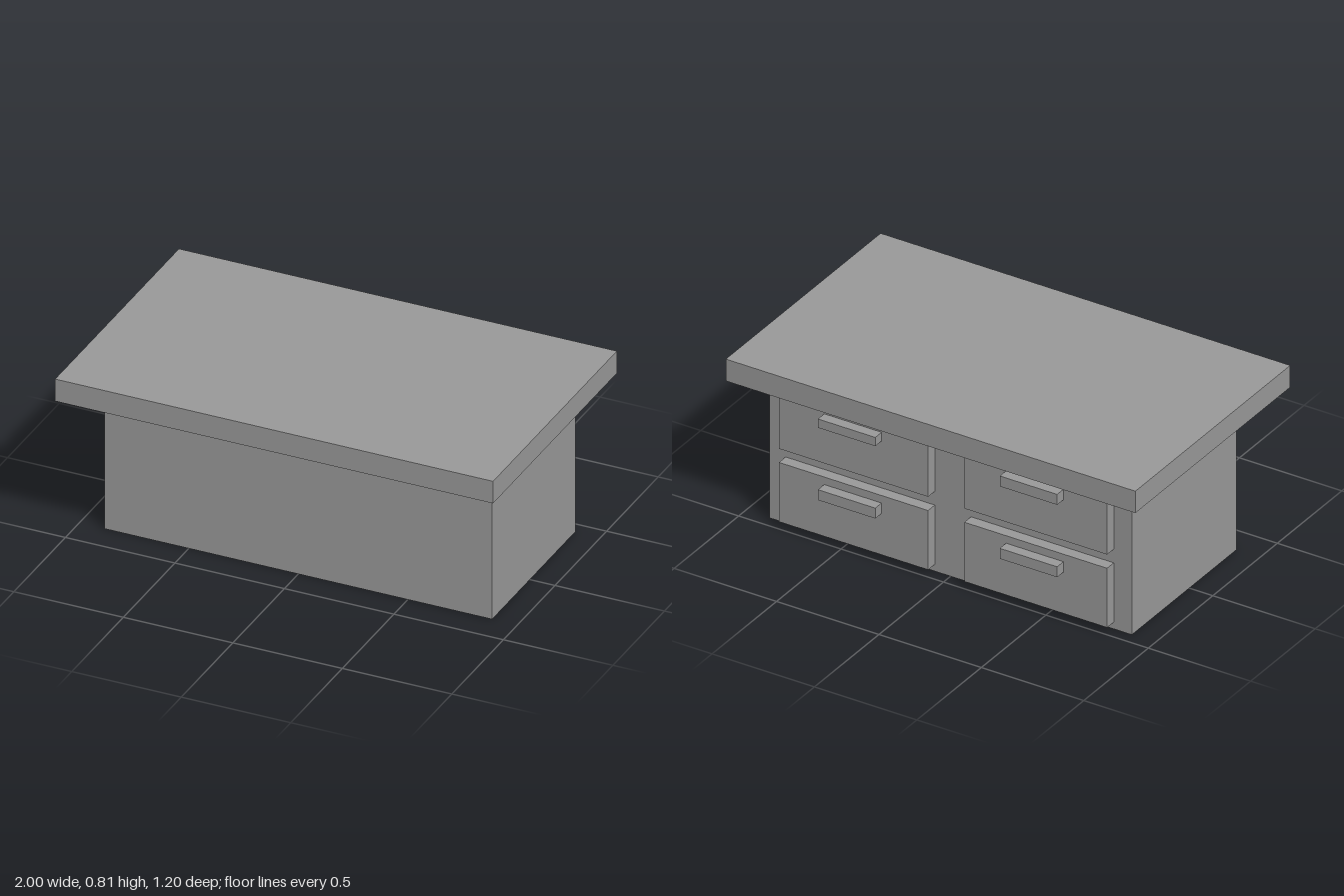
import * as THREE from 'three';

export function createModel() {
  const model = new THREE.Group();
  model.name = 'drawerDesk';
  const grey = new THREE.MeshStandardMaterial({ color: 0x999999 });
  grey.name = 'grey';

  // Box given by its extents along each axis
  function box(name, [x0, x1], [y0, y1], [z0, z1], parent = model) {
    const mesh = new THREE.Mesh(new THREE.BoxGeometry(x1 - x0, y1 - y0, z1 - z0), grey);
    mesh.position.set((x0 + x1) / 2, (y0 + y1) / 2, (z0 + z1) / 2);
    mesh.name = name;
    parent.add(mesh);
  }

  // Overhanging top and solid cabinet
  box('tableTop', [-1, 1], [0.7, 0.805], [-0.6, 0.6]);
  box('cabinet', [-0.885, 0.885], [0, 0.7], [-0.445, 0.365]);

  // Two columns of drawers on the back, each with a bar handle
  const columns = [
    { side: 'left', panel: [0.077, 0.805], handle: [0.304, 0.584], upperTop: 0.622 },
    { side: 'right', panel: [-0.797, -0.1], handle: [-0.584, -0.304], upperTop: 0.63 },
  ];
  for (const { side, panel, handle, upperTop } of columns) {
    const rows = [
      { row: 'Upper', height: [0.384, 0.664], grip: [0.58, upperTop] },
      { row: 'Lower', height: [0.033, 0.318], grip: [0.232, 0.282] },
    ];
    for (const { row, height, grip } of rows) {
      const drawer = new THREE.Group();
      drawer.name = `${side}${row}Drawer`;
      box('drawerFront', panel, height, [-0.497, -0.445], drawer);
      box('drawerHandle', handle, grip, [-0.546, -0.497], drawer);
      model.add(drawer);
    }
  }
  return model;
}
